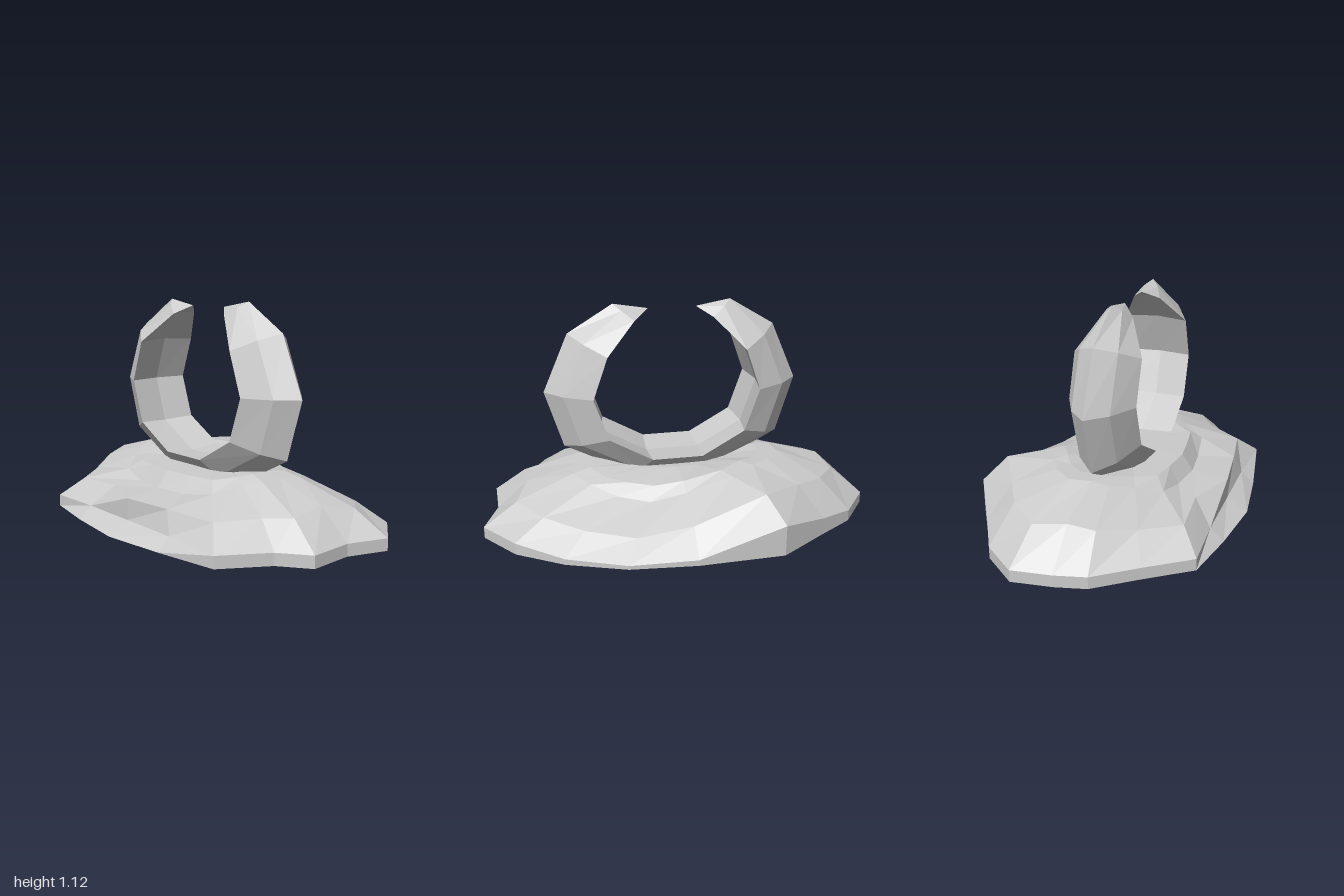
import * as THREE from 'three';

// Skin a list of closed rings, each an array of [x, y, z]
function loft(rings) {
  const n = rings[0].length;
  const index = [];
  for (let s = 0; s < rings.length - 1; s++) {
    for (let j = 0; j < n; j++) {
      const k = (j + 1) % n;
      const a = s * n + j, b = s * n + k, c = b + n, d = a + n;
      index.push(a, b, c, a, c, d);
    }
  }
  const geometry = new THREE.BufferGeometry();
  geometry.setAttribute('position', new THREE.Float32BufferAttribute(rings.flat(2), 3));
  geometry.setIndex(index);
  geometry.computeVertexNormals();
  return geometry;
}

function makeMesh(name, geometry, side = THREE.FrontSide) {
  const material = new THREE.MeshStandardMaterial({ color: 0xcccccc, flatShading: true, side });
  const mesh = new THREE.Mesh(geometry, material);
  mesh.name = name;
  return mesh;
}

// Irregular rocky mound, open underneath: the rim runs from the front round by +x
function createMound() {
  const rim = [
    [0, 0.65], [0.33, 0.61], [0.66, 0.555], [0.8, 0.33], [0.94, 0.225],
    [0.93, 0], [1, -0.2], [0.85, -0.39], [0.62, -0.53], [0.33, -0.63],
    [0, -0.66], [-0.43, -0.65], [-0.68, -0.49], [-0.86, -0.38], [-1, -0.2],
    [-0.97, 0], [-0.93, 0.15], [-0.78, 0.34], [-0.62, 0.555], [-0.33, 0.61],
  ];
  // Heights round the rim: the back sinks to a low apron at +x and rises to a hump at -x
  const wall = [0.06, 0.06, 0.06, 0.06, 0.06, 0.06, 0.06, 0.06, 0.03, 0.02,
    0.03, 0.16, 0.09, 0.06, 0.06, 0.06, 0.06, 0.06, 0.06, 0.06];
  const shoulder = [0.17, 0.17, 0.16, 0.17, 0.18, 0.2, 0.17, 0.15, 0.12, 0.1,
    0.15, 0.28, 0.25, 0.23, 0.21, 0.23, 0.2, 0.17, 0.16, 0.17];
  const upper = [0.19, 0.19, 0.22, 0.26, 0.28, 0.28, 0.27, 0.25, 0.21, 0.19,
    0.23, 0.3, 0.31, 0.31, 0.31, 0.31, 0.29, 0.26, 0.22, 0.19];
  const crown = [0.27, 0.27, 0.27, 0.28, 0.3, 0.3, 0.29, 0.27, 0.26, 0.25,
    0.27, 0.31, 0.32, 0.31, 0.31, 0.31, 0.3, 0.28, 0.27, 0.27];
  const ring = (scale, heights) =>
    rim.map(([x, z], i) => [x * scale, heights[i], z * scale]);
  const level = (y) => rim.map(() => y);

  const lip = rim.map(([x, z], i) => [x, wall[i], z > 0.6 ? 0.54 : z]); // front skirt slopes in
  const ledge = ring(0.83, shoulder);
  ledge[19] = [-0.25, 0.17, 0.44]; // ledge bitten in on one side of the front
  const rings = [
    ring(1, level(0)),
    lip,
    ledge,
    ring(0.54, upper),
    ring(0.45, crown),
    ring(0.22, level(0.28)),
    ring(0, level(0.27)),
  ];
  return makeMesh('mound', loft(rings), THREE.DoubleSide);
}

// Pair of curved horns joined by a bar, from the +x tip round to the -x tip
function createHorns() {
  // outer x, y, inner x, y, half depth
  const half = [
    [0.125, 1.085, 0.125, 1.083, 0.004],
    [0.3, 1.115, 0.2, 1.04, 0.07],
    [0.53, 0.975, 0.35, 0.89, 0.17],
    [0.66, 0.675, 0.425, 0.675, 0.17],
    [0.57, 0.375, 0.35, 0.455, 0.17],
    [0.22, 0.19, 0.13, 0.33, 0.17],
  ];
  const mirrored = half.map(([ox, oy, ix, iy, d]) => [-ox, oy, -ix, iy, d]).reverse();
  // Wedge outside and shallow groove inside: position across, share of depth
  const section = [[0, 0], [0.39, 0.56], [1, 1], [0.9, 0], [1, -1], [0.39, -0.56]];
  const rings = [...half, ...mirrored].map(([ox, oy, ix, iy, d]) =>
    section.map(([t, w]) => [ox + (ix - ox) * t, oy + (iy - oy) * t, 0.02 + w * d]));
  return makeMesh('horns', loft(rings));
}

export function createModel() {
  const group = new THREE.Group();
  group.name = 'hornedMound';
  group.add(createMound(), createHorns());
  return group;
}
